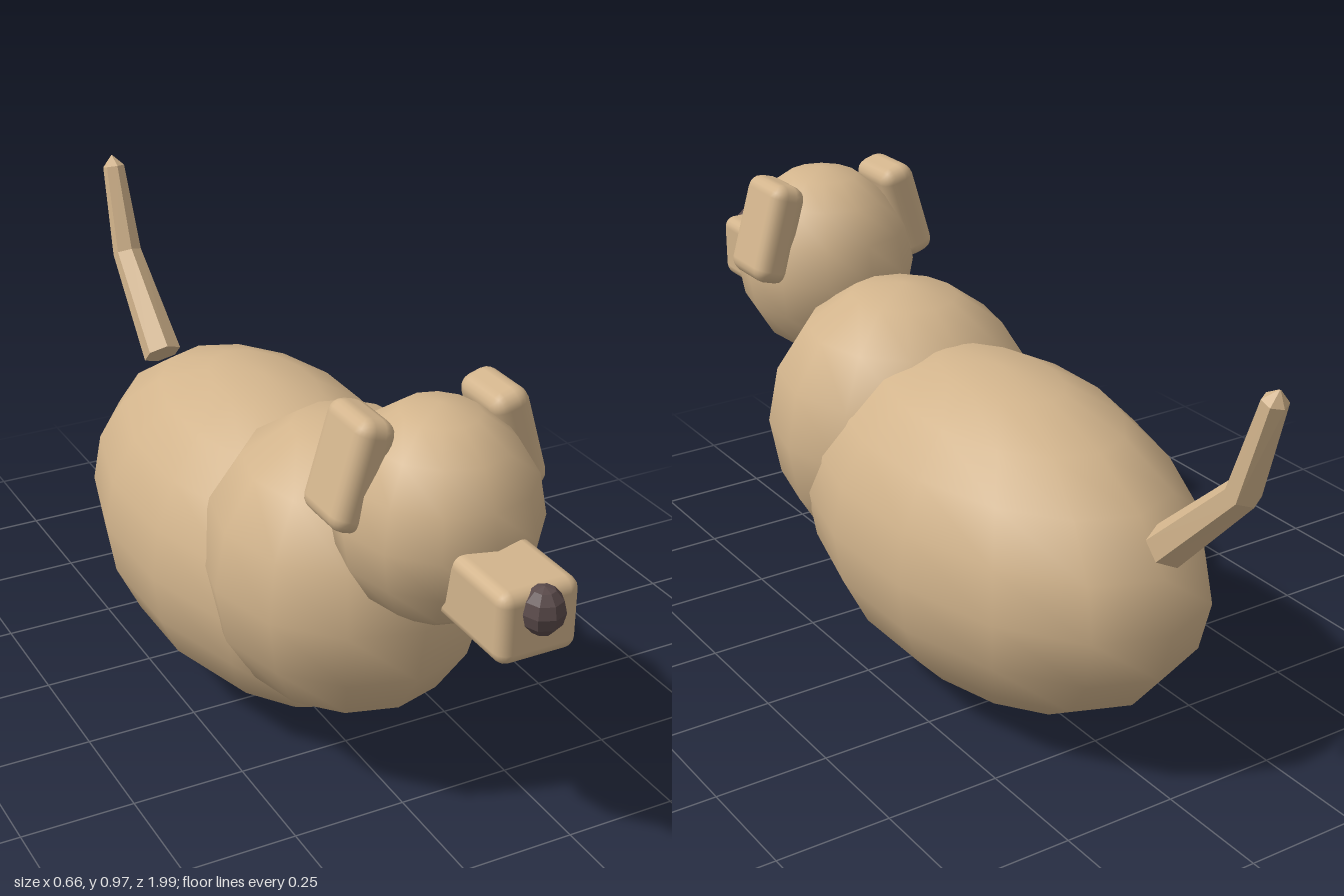
import * as THREE from 'three';
import { RoundedBoxGeometry } from 'three/addons/geometries/RoundedBoxGeometry.js';

const fur = new THREE.MeshStandardMaterial({ color: 0xd2b48c });
const furFlat = new THREE.MeshStandardMaterial({ color: 0xd2b48c, flatShading: true });
const dark = new THREE.MeshStandardMaterial({ color: 0x5a4a4a, flatShading: true });

function add(group, name, geometry, material, x, y, z) {
  const mesh = new THREE.Mesh(geometry, material);
  mesh.name = name;
  mesh.position.set(x, y, z);
  group.add(mesh);
  return mesh;
}

// Ellipsoid with its poles up and down and a vertex column facing front
function ellipsoid(rx, ry, rz, across, rings) {
  return new THREE.SphereGeometry(1, across, rings).rotateY(Math.PI / 2).scale(rx, ry, rz);
}

// Six-sided tapering tail: each ring is [y, z, radius, lean from upright]
function tailGeometry() {
  const rings = [
    [0.55, -0.703, 0, 0.79],
    [0.55, -0.703, 0.046, 0.79],
    [0.745, -0.905, 0.035, 0.53],
    [0.945, -0.97, 0.026, 0.3],
    [0.97, -0.98, 0.001, 0.3],
  ];
  const last = rings.length - 1;
  const geometry = new THREE.CylinderGeometry(1, 1, last, 6, last, true);
  const p = geometry.attributes.position;
  for (let i = 0; i < p.count; i++) {
    const [y, z, r, lean] = rings[Math.round(p.getY(i) + last / 2)];
    const side = p.getZ(i) * r;
    p.setXYZ(i, p.getX(i) * r, y + side * Math.sin(lean), z + side * Math.cos(lean));
  }
  geometry.computeVertexNormals();
  return geometry;
}

export function createModel() {
  const model = new THREE.Group();
  model.name = 'dog';

  // Trunk
  add(model, 'body', ellipsoid(0.34, 0.36, 0.59, 14, 10), fur, 0, 0.365, -0.14);
  add(model, 'chest', ellipsoid(0.3, 0.33, 0.33, 12, 8), fur, 0, 0.46, 0.24);

  // Head
  add(model, 'head', ellipsoid(0.2, 0.222, 0.22, 12, 8), fur, 0, 0.743, 0.59);
  add(model, 'muzzle', new RoundedBoxGeometry(0.166, 0.146, 0.25, 2, 0.025), fur, 0, 0.688, 0.83);
  add(model, 'nose', ellipsoid(0.042, 0.048, 0.042, 8, 6), dark, 0, 0.72, 0.956);

  // Floppy ears, leaning outwards towards the bottom
  for (const s of [-1, 1]) {
    const ear = add(model, s > 0 ? 'leftEar' : 'rightEar',
      new RoundedBoxGeometry(0.082, 0.225, 0.152, 2, 0.03), fur, s * 0.167, 0.855, 0.55);
    ear.rotation.z = s * 0.29;
  }

  // Tail
  add(model, 'tail', tailGeometry(), furFlat, 0, 0, 0);
  return model;
}
